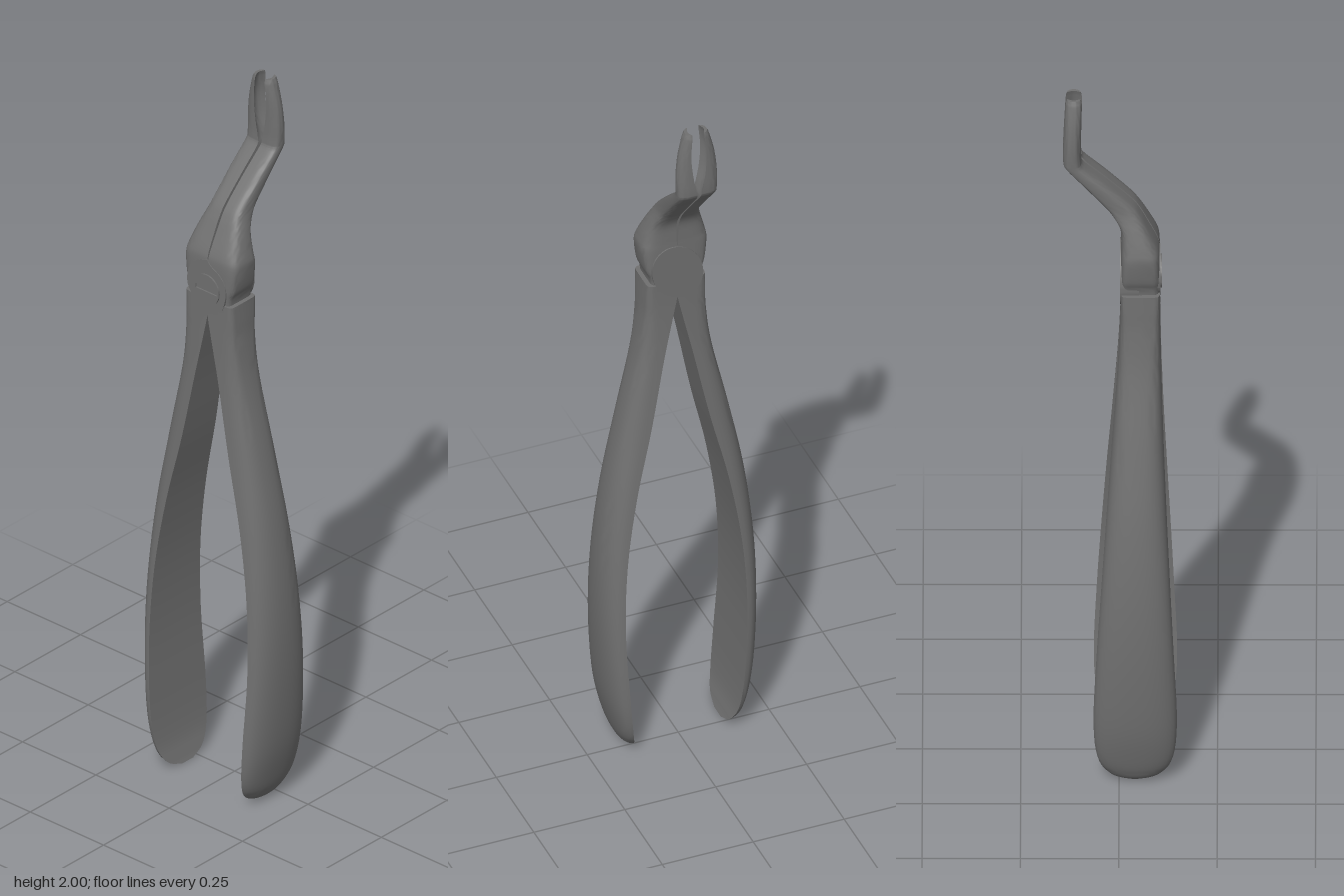
import * as THREE from 'three';
import { toCreasedNormals } from 'three/addons/utils/BufferGeometryUtils.js';

const steel = new THREE.MeshStandardMaterial({ color: 0x707070 });

// Loft of D-shaped sections: [y, xInner, xOuter, zFront, zBack, roundness, innerHollow].
// roundness 1 is a half ellipse, smaller is boxier; side +1 / -1 mirrors in x.
function loft(sections, side, steps) {
  const size = sections[0].length;
  const curve = new THREE.CubicInterpolant(
    sections.map((_, i) => i), sections.flat(), size, new Float32Array(size));
  const outer = 16, inner = 6, ring = outer + inner;
  const rows = (sections.length - 1) * steps;
  const pos = [], index = [];
  const tri = (a, b, c) => (side > 0 ? index.push(a, b, c) : index.push(a, c, b));

  for (let i = 0; i <= rows; i++) {
    const [y, xi, xo, zf, zb, round, hollow] = curve.evaluate(i / steps);
    const zc = (zf + zb) / 2, hz = (zf - zb) / 2;
    for (let j = 0; j < ring; j++) {
      let x, z;
      if (j <= outer) {
        const t = -Math.PI / 2 + (Math.PI * j) / outer;
        const c = Math.max(0, Math.cos(t)), s = Math.sin(t);
        x = xi + (xo - xi) * Math.pow(c, round);
        z = zc + hz * Math.sign(s) * Math.pow(Math.abs(s), round);
      } else {
        const k = 1 - (2 * (j - outer)) / inner;
        x = xi + hollow * (1 - k * k);
        z = zc + hz * k;
      }
      pos.push(side * x, y, z);
    }
  }
  for (let i = 0; i < rows; i++) {
    for (let j = 0; j < ring; j++) {
      const a = i * ring + j, b = i * ring + ((j + 1) % ring);
      tri(a, a + ring, b);
      tri(b, a + ring, b + ring);
    }
  }
  // End caps
  for (const row of [0, rows]) {
    const centre = pos.length / 3, start = row * ring;
    const p = [0, 0, 0];
    for (let j = 0; j < ring; j++) for (let k = 0; k < 3; k++) p[k] += pos[(start + j) * 3 + k] / ring;
    pos.push(...p);
    for (let j = 0; j < ring; j++) {
      const a = start + j, b = start + ((j + 1) % ring);
      if (row === 0) tri(centre, a, b); else tri(centre, b, a);
    }
  }
  const geo = new THREE.BufferGeometry();
  geo.setAttribute('position', new THREE.Float32BufferAttribute(pos, 3));
  geo.setIndex(index);
  return toCreasedNormals(geo, 0.6);
}

function add(parent, name, geometry) {
  const mesh = new THREE.Mesh(geometry, steel);
  mesh.name = name;
  parent.add(mesh);
}

// Flat plate from a shape, spanning z0 to z1
function plate(shape, z0, z1) {
  const geo = new THREE.ExtrudeGeometry(shape, { depth: z1 - z0, bevelEnabled: false, curveSegments: 32 });
  geo.translate(0, 0, z0);
  return toCreasedNormals(geo, 0.6);
}

const handleSections = [
  [0.0, 0.125, 0.136, 0.062, 0.018, 1, 0],
  [0.022, 0.132, 0.159, 0.108, -0.026, 0.95, 0],
  [0.08, 0.146, 0.180, 0.138, -0.056, 0.9, 0],
  [0.2, 0.158, 0.203, 0.147, -0.065, 0.9, 0],
  [0.4, 0.167, 0.215, 0.139, -0.057, 0.9, 0],
  [0.6, 0.157, 0.210, 0.130, -0.045, 0.9, 0],
  [0.8, 0.126, 0.187, 0.121, -0.032, 0.85, 0],
  [1.0, 0.080, 0.148, 0.113, -0.018, 0.75, 0],
  [1.2, 0.040, 0.103, 0.107, -0.004, 0.6, 0],
  [1.32, 0.014, 0.086, 0.105, 0.002, 0.4, 0],
  [1.39, 0.0, 0.082, 0.104, 0.004, 0.25, 0],
  [1.435, 0.0, 0.080, 0.104, 0.004, 0.2, 0],
];

const jawSections = [
  [1.40, 0.0, 0.066, 0.100, 0.008, 0.25, 0],
  [1.45, 0.0, 0.070, 0.102, 0.006, 0.25, 0],
  [1.48, 0.0, 0.081, 0.103, 0.005, 0.3, 0],
  [1.54, 0.001, 0.089, 0.103, 0.005, 0.4, 0],
  [1.57, 0.002, 0.085, 0.097, 0.005, 0.5, 0],
  [1.62, 0.003, 0.070, 0.073, 0.002, 0.5, 0],
  [1.66, 0.003, 0.057, 0.052, -0.019, 0.5, 0],
  [1.69, 0.003, 0.053, 0.029, -0.043, 0.5, 0],
  [1.75, 0.003, 0.053, -0.033, -0.093, 0.5, 0],
  [1.80, 0.004, 0.053, -0.088, -0.136, 0.55, 0],
  [1.82, 0.007, 0.054, -0.096, -0.143, 0.65, 0.004],
  [1.87, 0.016, 0.055, -0.097, -0.142, 0.8, 0.014],
  [1.93, 0.021, 0.049, -0.096, -0.139, 0.9, 0.014],
  [1.985, 0.017, 0.036, -0.095, -0.136, 0.95, 0.009],
  [2.0, 0.016, 0.030, -0.098, -0.133, 1, 0.006],
];

export function createModel() {
  const forceps = new THREE.Group();
  forceps.name = 'forceps';

  for (const [side, label] of [[1, 'left'], [-1, 'right']]) {
    add(forceps, `${label}Handle`, loft(handleSections, side, 5));
    add(forceps, `${label}Jaw`, loft(jawSections, side, 4));
  }

  // Hinge, centred on the pivot
  const hinge = new THREE.Group();
  hinge.name = 'hinge';
  hinge.position.y = 1.465;
  forceps.add(hinge);

  // Back lap: tilted oval plate
  const oval = new THREE.Shape();
  oval.absellipse(0, 0, 0.066, 0.085, 0, Math.PI * 2, false, -0.45);
  add(hinge, 'backLap', plate(oval, 0.002, 0.05));

  // Front lap: runs from one jaw across to the opposite handle
  const lap = new THREE.Shape();
  lap.moveTo(0, 0.085);
  lap.bezierCurveTo(0.012, 0.062, 0.035, 0.068, 0.054, 0.04);
  lap.bezierCurveTo(0.068, 0.015, 0.062, -0.02, 0.05, -0.045);
  lap.lineTo(0, -0.075);
  lap.bezierCurveTo(-0.035, -0.05, -0.065, -0.03, -0.068, 0);
  lap.bezierCurveTo(-0.072, 0.05, -0.04, 0.08, 0, 0.085);
  add(hinge, 'frontLap', plate(lap, 0.06, 0.105));

  // Slotted pivot screw
  const head = new THREE.Shape();
  head.absarc(0, 0, 0.043, 0, Math.PI * 2);
  const slot = new THREE.Path();
  slot.moveTo(-0.036, -0.006);
  slot.lineTo(-0.036, 0.006);
  slot.lineTo(0.036, 0.006);
  slot.lineTo(0.036, -0.006);
  slot.closePath();
  head.holes.push(slot);
  add(hinge, 'screw', plate(head, 0.1, 0.109));

  return forceps;
}
